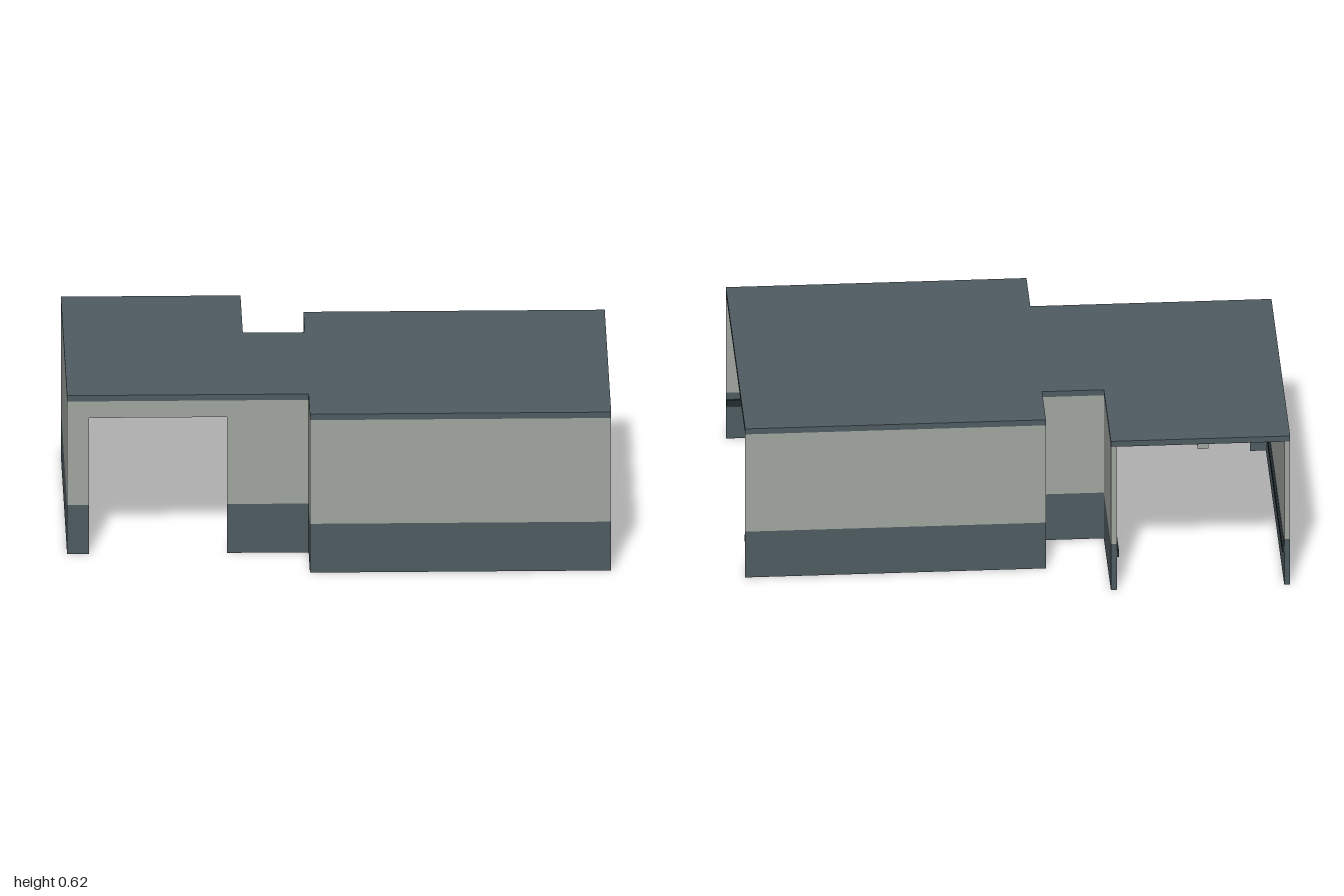
import * as THREE from 'three';

export function createModel() {
  const model = new THREE.Group();
  model.name = 'corridorJunction';

  const material = (name, color) => {
    const m = new THREE.MeshStandardMaterial({ color });
    m.name = name;
    return m;
  };
  const grey = material('wallGrey', 0xa0a6a0);
  const slate = material('slateBlue', 0x4f5c62);
  const dark = material('darkRail', 0x242d2f);

  const ROOF_BASE = 0.597, ROOF_TOP = 0.62, SPLIT = 0.191, WALL = 0.022, RAIL = 0.008;

  // Extrude a floor-plan polygon of [x, z] points from y0 up to y1
  function prism(name, plan, y0, y1, mat) {
    const shape = new THREE.Shape(plan.map(([x, z]) => new THREE.Vector2(x, -z)));
    const geo = new THREE.ExtrudeGeometry(shape, { depth: y1 - y0, bevelEnabled: false });
    geo.rotateX(-Math.PI / 2).translate(0, y0, 0);
    const mesh = new THREE.Mesh(geo, mat);
    mesh.name = name;
    model.add(mesh);
  }

  // Shift an axis-aligned path toward the interior, with mitred corners
  function inset(path, d) {
    const normals = path.slice(1).map(([x, z], i) =>
      [-Math.sign(z - path[i][1]), Math.sign(x - path[i][0])]);
    return path.map(([x, z], i) => {
      const a = normals[i - 1], b = normals[i];
      const n = a && b ? [a[0] + b[0], a[1] + b[1]] : a || b;
      return [x + n[0] * d, z + n[1] * d];
    });
  }

  // Strip of plan between two inward distances from the path
  function strip(name, path, d0, d1, y0, y1, mat) {
    prism(name, [...inset(path, d0), ...inset(path, d1).reverse()], y0, y1, mat);
  }

  // Outer wall lines, broken by the doorway and the two open corridor ends
  const runs = {
    front: [[1, 0.648], [-0.11, 0.648], [-0.11, 0.427], [-0.41, 0.427]],
    side: [[-0.92, 0.427], [-1, 0.427], [-1, -0.648]],
    back: [[-0.338, -0.648], [-0.338, -0.243], [-0.11, -0.243], [-0.11, -0.464], [1, -0.464]],
  };
  for (const [name, path] of Object.entries(runs)) {
    strip(name + 'WallLower', path, 0, WALL, 0, SPLIT, slate);
    strip(name + 'WallUpper', path, 0, WALL, SPLIT, ROOF_BASE, grey);
    strip(name + 'InnerRail', path, WALL, WALL + RAIL, 0.137, 0.163, dark);
  }

  // Lintel over the doorway
  strip('doorLintel', [[-0.41, 0.427], [-0.92, 0.427]], 0, WALL, 0.532, ROOF_BASE, grey);

  // Roof slab follows the whole outline
  prism('roof', [...runs.front.slice(0, 3), ...runs.side.slice(1), ...runs.back],
    ROOF_BASE, ROOF_TOP, slate);

  // Small ceiling fixtures on each corridor's centreline
  function fixture(name, w, d, x, z) {
    const mesh = new THREE.Mesh(new THREE.BoxGeometry(w, 0.032, d), grey);
    mesh.name = name;
    mesh.position.set(x, ROOF_BASE - 0.016, z);
    model.add(mesh);
  }
  fixture('ceilingFixtureMain', 0.13, 0.04, 0.53, 0.092);
  fixture('ceilingFixtureWing', 0.04, 0.13, -0.68, -0.56);

  return model;
}
